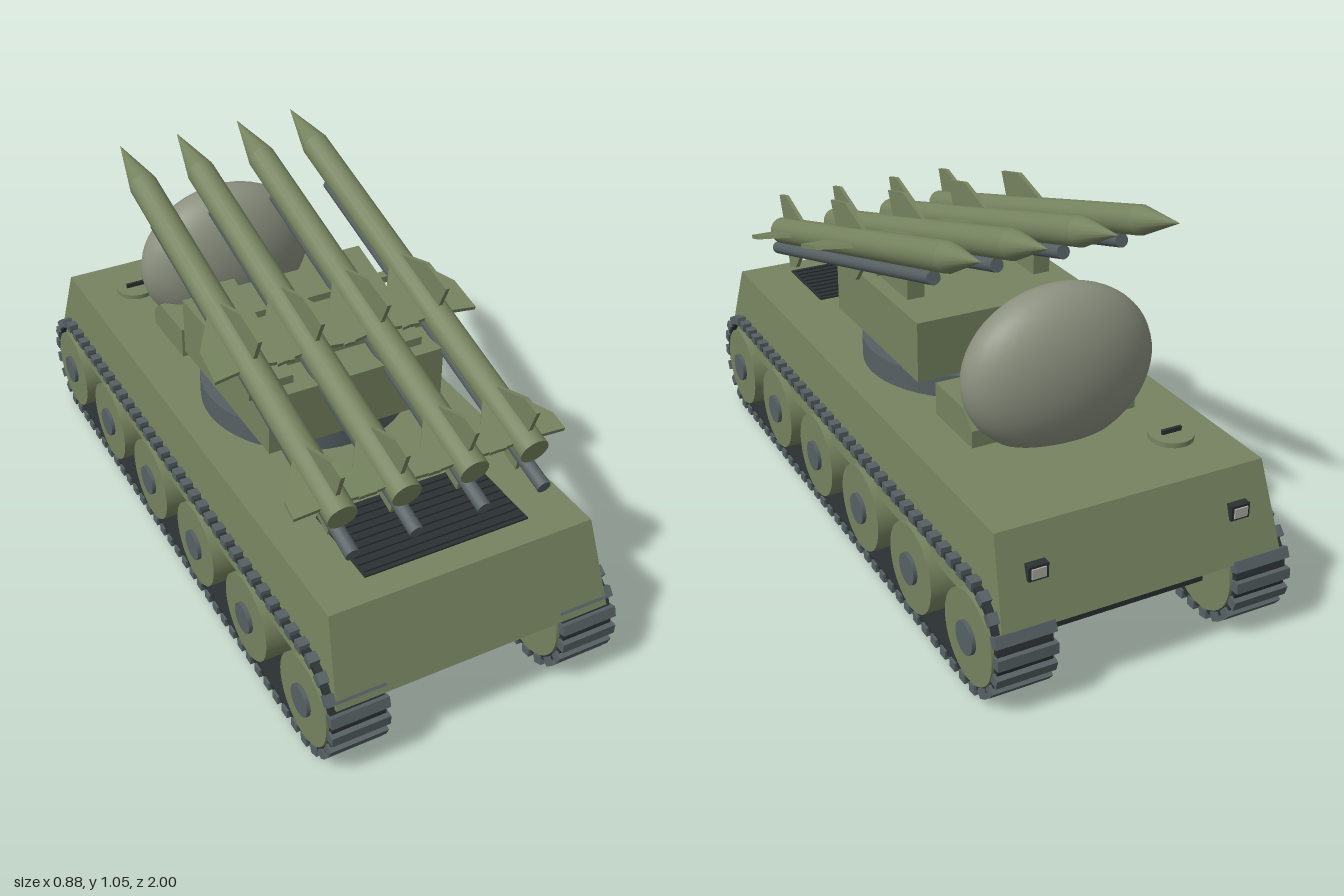
import * as THREE from 'three';

const mat = (color, flat = false) => new THREE.MeshStandardMaterial({ color, flatShading: flat });
const GREEN = mat(0x76835f), GREEN_FLAT = mat(0x76835f, true), DARK = mat(0x2b3133);
const SLATE = mat(0x566063), DISH = mat(0x8b907f), LENS = mat(0xb0b0a8);

function add(parent, name, geometry, material, x = 0, y = 0, z = 0) {
  const mesh = new THREE.Mesh(geometry, material);
  mesh.name = name;
  mesh.position.set(x, y, z);
  parent.add(mesh);
  return mesh;
}
const box = (w, h, d) => new THREE.BoxGeometry(w, h, d);
const cyl = (r, h, n = 32) => new THREE.CylinderGeometry(r, r, h, n);
const polygon = pts => new THREE.Shape(pts.map(p => new THREE.Vector2(...p)));

// Extrude a (z, y) profile across x, centred on x = 0
function sideExtrude(shape, width) {
  const g = new THREE.ExtrudeGeometry(shape, { depth: width, bevelEnabled: false, curveSegments: 16 });
  return g.translate(0, 0, -width / 2).rotateY(-Math.PI / 2);
}

// Hull: a box whose top is drawn in on all sides
function hullGeometry() {
  const g = box(2, 0.24, 2), p = g.attributes.position;
  for (let i = 0; i < p.count; i++) {
    const top = p.getY(i) > 0;
    p.setX(i, p.getX(i) * (top ? 0.39 : 0.41));
    p.setZ(i, p.getZ(i) * (top ? 0.893 : 0.978));
  }
  g.computeVertexNormals();
  return g;
}

const END = 0.835, MID_Y = 0.165;

function stadium(r, Curve) {
  const s = new Curve();
  s.moveTo(-END, MID_Y - r);
  s.lineTo(END, MID_Y - r);
  s.absarc(END, MID_Y, r, -Math.PI / 2, Math.PI / 2, false);
  s.lineTo(-END, MID_Y + r);
  s.absarc(-END, MID_Y, r, Math.PI / 2, Math.PI * 1.5, false);
  return s;
}

// Position and tilt of a tread pad at distance d along the track
function padPlace(d, r) {
  const run = 2 * END, arc = Math.PI * r;
  if (d < run) return [-END + d, MID_Y - r, -Math.PI / 2];
  d -= run;
  if (d < arc) {
    const a = -Math.PI / 2 + d / r;
    return [END + r * Math.cos(a), MID_Y + r * Math.sin(a), a];
  }
  d -= arc;
  if (d < run) return [END - d, MID_Y + r, Math.PI / 2];
  const a = Math.PI / 2 + (d - run) / r;
  return [-END + r * Math.cos(a), MID_Y + r * Math.sin(a), a];
}

function runningGear(side) {
  const g = new THREE.Group();
  g.name = 'runningGear';
  const x = side * 0.348;
  const ring = stadium(0.151, THREE.Shape);
  ring.holes.push(stadium(0.135, THREE.Path));
  add(g, 'trackBelt', sideExtrude(ring, 0.155), DARK, x);
  const pads = 78, r = 0.152, total = 4 * END + 2 * Math.PI * r;
  const padGeo = box(0.168, 0.026, 0.03);
  for (let i = 0; i < pads; i++) {
    const [z, y, a] = padPlace((i + 0.5) * total / pads, r);
    add(g, 'trackPad', padGeo, SLATE, x, y, z).rotation.x = Math.PI / 2 - a;
  }
  const wheelGeo = cyl(0.127, 0.165).rotateZ(Math.PI / 2);
  const hubGeo = cyl(0.045, 0.02, 20).rotateZ(Math.PI / 2);
  for (let i = 0; i < 6; i++) {
    const z = 0.837 - i * 0.335;
    add(g, 'roadWheel', wheelGeo, GREEN, x, 0.156, z);
    add(g, 'wheelHub', hubGeo, SLATE, side * 0.432, 0.156, z);
  }
  return g;
}

// Missile with its launch rail, built along local y with the tail at the origin
function missile(x) {
  const g = new THREE.Group();
  g.name = 'missile';
  add(g, 'missileBody', cyl(0.042, 1.26, 16), GREEN, 0, 0.63, 0);
  add(g, 'missileNose', new THREE.ConeGeometry(0.042, 0.18, 16), GREEN, 0, 1.35, 0);
  const fins = [
    [[0.03, 0.51], [0.117, 0.497], [0.112, 0.607], [0.03, 0.735]],
    [[0.03, 0.04], [0.117, 0.035], [0.115, 0.09], [0.03, 0.215]],
  ];
  for (const pts of fins) {
    const geo = new THREE.ExtrudeGeometry(polygon(pts), { depth: 0.012, bevelEnabled: false }).translate(0, 0, -0.006);
    for (let k = 0; k < 4; k++) add(g, 'missileFin', geo, GREEN_FLAT).rotation.y = k * Math.PI / 2;
  }
  add(g, 'launchRail', cyl(0.02, 1.224, 16), SLATE, 0, 0.538, -0.061);
  g.position.set(x, 0.649, 0.764);
  g.rotation.x = -74 * Math.PI / 180;
  return g;
}

export function createModel() {
  const model = new THREE.Group();
  model.name = 'missileCarrier';

  // Hull and running gear
  add(model, 'hull', hullGeometry(), GREEN_FLAT, 0, 0.356, 0);
  add(model, 'lowerHull', box(0.54, 0.113, 1.7), DARK, 0, 0.167, 0);
  model.add(runningGear(1), runningGear(-1));

  // Engine grille on the front deck
  add(model, 'grilleBase', box(0.49, 0.006, 0.26), DARK, 0, 0.478, 0.685);
  for (let i = 0; i < 9; i++) add(model, 'grilleSlat', box(0.48, 0.006, 0.012), DARK, 0, 0.483, 0.573 + i * 0.028);

  // Turret with launcher brackets
  add(model, 'turretRing', cyl(0.303, 0.07, 48), SLATE, 0, 0.51, 0.018);
  add(model, 'turret', box(0.54, 0.177, 0.56), GREEN_FLAT, 0, 0.632, 0.054);
  const bracket = sideExtrude(polygon([[-0.072, 0.71], [0.29, 0.71], [0.29, 0.745], [-0.072, 0.85]]), 0.052);
  for (const s of [1, -1]) add(model, 'launcherBracket', bracket, GREEN_FLAT, s * 0.2);
  for (const x of [-0.283, -0.1, 0.1, 0.283]) model.add(missile(x));
  // Cross beams tying the rails to the brackets
  for (const z of [0.02, 0.2]) add(model, 'railBeam', box(0.566, 0.02, 0.03), GREEN_FLAT, 0, 0.79 - z * 0.287, z);

  // Radar dish on its plinth
  const plinth = polygon([[-0.295, 0.47], [-0.51, 0.47], [-0.51, 0.525], [-0.46, 0.57], [-0.295, 0.57]]);
  add(model, 'radarPlinth', sideExtrude(plinth, 0.5), GREEN_FLAT);
  add(model, 'radarDish', new THREE.SphereGeometry(1, 40, 28), DISH, 0, 0.66, -0.513).scale.set(0.28, 0.234, 0.134);

  // Crew hatch with handle
  add(model, 'hatchNeck', cyl(0.035, 0.02, 24), GREEN, -0.235, 0.482, -0.708);
  add(model, 'hatch', cyl(0.061, 0.014, 32), GREEN, -0.235, 0.493, -0.708);
  add(model, 'hatchHandle', box(0.06, 0.014, 0.008), DARK, -0.235, 0.506, -0.708);

  // Rear lamps
  for (const s of [1, -1]) {
    add(model, 'rearLampHousing', box(0.056, 0.042, 0.05), DARK, s * 0.295, 0.37, -0.921);
    add(model, 'rearLampLens', box(0.04, 0.028, 0.006), LENS, s * 0.295, 0.37, -0.947);
  }
  return model;
}
